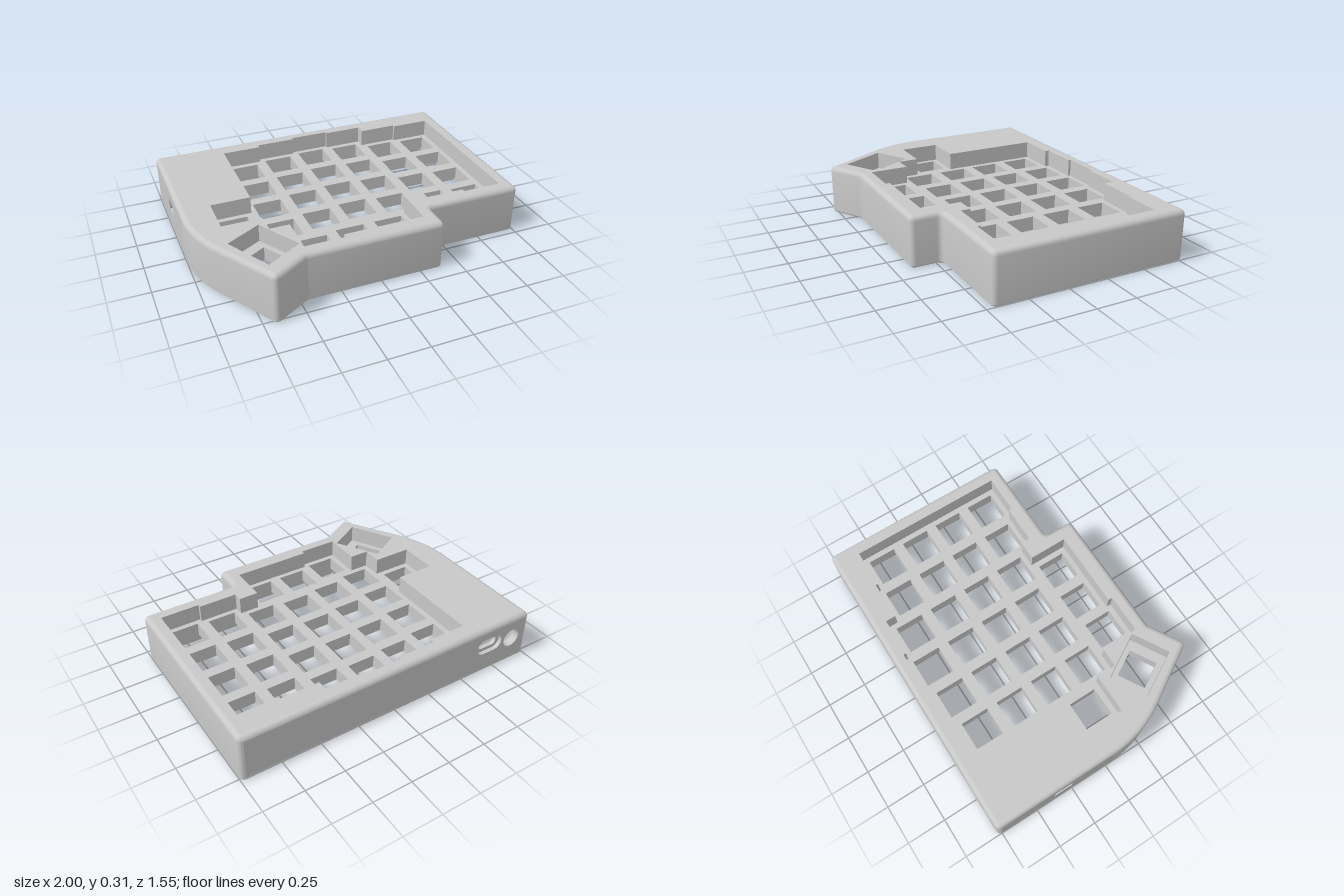
import * as THREE from 'three';
import { toCreasedNormals } from 'three/addons/utils/BufferGeometryUtils.js';

const H = 0.31, PLATE_TOP = 0.2, PLATE_LOW = 0.115, LEDGE = 0.025, EDGE = 0.03, BAY_TOP = 0.24;

// All loops hold [x, z] points, running clockwise as seen from above.
function caseOutline() {
  const pts = [[-1, -0.775], [1, -0.775], [1, 0.463], [0.39, 0.463], [0.39, 0.653],
    [-0.455, 0.653], [-0.675, 0.783]];
  const curve = new THREE.QuadraticBezierCurve(
    new THREE.Vector2(-0.9, 0.405), new THREE.Vector2(-1, 0.23), new THREE.Vector2(-1, 0.03));
  curve.getPoints(10).forEach(p => pts.push([p.x, p.y]));
  return pts;
}

// Corner data: inward normals of both edges, their mitre and the turn direction
function corners(loop) {
  const n = loop.length;
  const normal = (a, b) => {
    const dx = b[0] - a[0], dz = b[1] - a[1], l = Math.hypot(dx, dz);
    return [-dz / l, dx / l];
  };
  return loop.map((p, i) => {
    const n1 = normal(loop[(i + n - 1) % n], p), n2 = normal(p, loop[(i + 1) % n]);
    const k = 1 + n1[0] * n2[0] + n1[1] * n2[1];
    return { p, n1, turn: Math.atan2(n1[0] * n2[1] - n1[1] * n2[0], k - 1),
      m: [(n1[0] + n2[0]) / k, (n1[1] + n2[1]) / k] };
  });
}

const inset = (loop, d) => corners(loop).map(({ p, m }) => [p[0] + m[0] * d, p[1] + m[1] * d]);

// Outline with rounded corners, moved inwards by d
function rounded(loop, r, d) {
  const out = [];
  for (const { p, n1, turn, m } of corners(loop)) {
    if (Math.abs(turn) < 0.2) { out.push([p[0] + m[0] * d, p[1] + m[1] * d]); continue; }
    const s = Math.sign(turn) * r;
    for (let i = 0; i <= 5; i++) {
      const a = turn * i / 5, c = Math.cos(a), sn = Math.sin(a);
      const nx = n1[0] * c - n1[1] * sn, nz = n1[0] * sn + n1[1] * c;
      out.push([p[0] + s * m[0] + (d - s) * nx, p[1] + s * m[1] + (d - s) * nz]);
    }
  }
  return out;
}

// Skin through stacked rings {loop, y}; inward flips it, skip leaves out single quads
function skin(rings, inward = false, skip = () => false) {
  const pos = [];
  for (let k = 0; k + 1 < rings.length; k++) {
    const A = rings[k], B = rings[k + 1], n = A.loop.length;
    for (let i = 0; i < n; i++) {
      const j = (i + 1) % n;
      if (skip(A.loop[i], A.loop[j], k)) continue;
      const v = (R, q) => [R.loop[q][0], R.y, R.loop[q][1]];
      const a = v(A, i), b = v(A, j), c = v(B, i), d = v(B, j);
      pos.push(...(inward ? [a, b, c, b, d, c] : [a, c, b, b, c, d]).flat());
    }
  }
  const g = new THREE.BufferGeometry();
  g.setAttribute('position', new THREE.Float32BufferAttribute(pos, 3));
  return toCreasedNormals(g, 0.6);
}

const wall = (loop, y0, y1, skip) => skin([{ loop, y: y0 }, { loop, y: y1 }], true, skip);

// Flat horizontal face with holes
function face(loop, holes, y, down = false) {
  const vec = l => l.map(([x, z]) => new THREE.Vector2(x, -z));
  const shape = new THREE.Shape(vec(loop));
  holes.forEach(h => shape.holes.push(new THREE.Path(vec(h))));
  const g = new THREE.ShapeGeometry(shape).rotateX(-Math.PI / 2).translate(0, y, 0);
  if (down) { g.index.array.reverse(); g.computeVertexNormals(); }
  return g;
}

// Square loop turned by an angle
function square(x, z, size, turn = 0) {
  const h = size / 2, c = Math.cos(turn), s = Math.sin(turn);
  return [[-h, -h], [h, -h], [h, h], [-h, h]].map(([a, b]) => [x + a * c - b * s, z + a * s + b * c]);
}

const circle = (x, z, r) => Array.from({ length: 16 }, (_, i) =>
  [x + r * Math.cos(i * Math.PI / 8), z + r * Math.sin(i * Math.PI / 8)]);

const rect = (x0, x1, y0, y1, P = THREE.Path) => new P(
  [[x0, y0], [x1, y0], [x1, y1], [x0, y1]].map(p => new THREE.Vector2(...p)));

// Rounded slot as a path or shape
function slot(x, y, w, h, P = THREE.Path) {
  const r = h / 2, e = w / 2 - r, p = new P();
  p.absarc(x + e, y, r, -Math.PI / 2, Math.PI / 2, false);
  p.absarc(x - e, y, r, Math.PI / 2, Math.PI * 1.5, false);
  p.closePath();
  return p;
}

export function createModel() {
  const model = new THREE.Group();
  const grey = new THREE.MeshStandardMaterial({ color: 0xc8c8c8 });
  grey.name = 'case grey';
  const add = (name, g) => {
    const m = new THREE.Mesh(g, grey);
    m.name = name;
    model.add(m);
    return m;
  };

  const outline = caseOutline();
  const ring = (d, y) => ({ loop: rounded(outline, EDGE, d), y });

  // Outer shell with a rounded top edge; back and left walls are separate panels
  const rings = [ring(0.008, 0), ring(0, 0.008), ring(0, LEDGE)];
  for (let i = 0; i <= 4; i++) {
    const a = i / 4 * Math.PI / 2;
    rings.push(ring(EDGE * (1 - Math.cos(a)), H - EDGE + EDGE * Math.sin(a)));
  }
  const onPanel = (p, q, k) => k === 2 &&
    ((p[1] < -0.7749 && q[1] < -0.7749) || (p[0] < -0.9999 && q[0] < -0.9999));
  add('outerShell', skin(rings, false, onPanel));

  // Key positions
  const keys = [];
  [-0.533, -0.563, -0.583, -0.563, -0.502, -0.484].forEach((z, c) => {
    for (let r = 0; r < 4; r++) keys.push(square(-0.44 + c * 0.2465, z + r * 0.2475, 0.18));
  });
  [[-0.69, 0.081], [-0.317, 0.449], [-0.072, 0.424], [0.176, 0.424]].forEach(([x, z]) =>
    keys.push(square(x, z, 0.18)));
  const thumbKey = square(-0.638, 0.465, 0.18, -Math.PI / 6);

  // Key well outlines
  const well = [[-0.565, -0.66], [-0.318, -0.66], [-0.318, -0.688], [-0.068, -0.688], [-0.068, -0.705],
    [0.18, -0.705], [0.18, -0.688], [0.425, -0.688], [0.425, -0.625], [0.67, -0.625], [0.67, -0.609],
    [0.917, -0.609], [0.917, 0.381], [0.67, 0.381], [0.67, 0.36], [0.425, 0.36], [0.425, 0.3],
    [0.302, 0.3], [0.302, 0.545], [-0.195, 0.545], [-0.195, 0.572], [-0.443, 0.572], [-0.443, 0.333],
    [-0.565, 0.333], [-0.565, 0.207], [-0.812, 0.207], [-0.812, -0.042], [-0.565, -0.042]];
  const thumbWell = [[-0.61, 0.269], [-0.456, 0.537], [-0.673, 0.662], [-0.823, 0.39]];

  add('topFace', face(rings.at(-1).loop, [well, thumbWell], H));
  add('keyWellWall', wall(well, PLATE_TOP, H));
  add('thumbWellWall', wall(thumbWell, PLATE_TOP, H));
  add('keyPlate', face(well, keys, PLATE_TOP));
  add('thumbKeyPlate', face(thumbWell, [thumbKey], PLATE_TOP));
  [...keys, thumbKey].forEach(k => add('keyHole', wall(k, PLATE_LOW, PLATE_TOP)));

  // Blind screw holes under the plate
  const screws = [[0.667, -0.37], [0.667, 0.12], [-0.317, -0.43], [-0.317, 0.06], [-0.606, 0.255]]
    .map(([x, z]) => circle(x, z, 0.02));
  screws.forEach(s => {
    add('screwHole', wall(s, PLATE_LOW, PLATE_LOW + 0.05));
    add('screwHoleEnd', face(s, [], PLATE_LOW + 0.05, true));
  });

  // Underside: rim, stepped ledge, inner walls and the plate's lower face
  const lip = inset(outline, 0.025), inner = inset(outline, 0.05);
  const bay = [[-0.948, -0.723], [-0.59, -0.723], [-0.59, -0.07], [-0.948, -0.07]];
  const behindPanel = (p, q) => (p[1] < -0.72 && q[1] < -0.72) ||
    (p[0] < -0.947 && q[0] < -0.947 && Math.max(p[1], q[1]) < 0.05);
  add('bottomRim', face(rings[0].loop, [lip], 0, true));
  add('lipWall', wall(lip, 0, LEDGE));
  add('bottomLedge', face(lip, [inner], LEDGE, true));
  add('innerWall', wall(inner, LEDGE, PLATE_LOW, behindPanel));
  add('plateUnderside', face(inner, [...keys, thumbKey, ...screws, bay], PLATE_LOW, true));

  // Controller bay in the rear corner
  add('bayWall', wall(bay, PLATE_LOW, BAY_TOP, behindPanel));
  add('bayRoof', face(bay, [], BAY_TOP, true));

  // Back panel with a cable slot and a round socket
  const back = rect(-0.97, 0.97, LEDGE, H - EDGE, THREE.Shape);
  const socket = new THREE.Path();
  socket.absarc(-0.872, 0.165, 0.06, 0, Math.PI * 2);
  back.holes.push(slot(-0.695, 0.185, 0.19, 0.105), socket);
  const extrude = (s, depth) => toCreasedNormals(
    new THREE.ExtrudeGeometry(s, { depth, bevelEnabled: false, curveSegments: 16 }), 0.6);
  add('backPanel', extrude(back, 0.05)).position.z = -0.775;
  const collar = slot(-0.695, 0.185, 0.19, 0.105, THREE.Shape);
  collar.holes.push(slot(-0.695, 0.185, 0.14, 0.06));
  add('slotCollar', extrude(collar, 0.025)).position.z = -0.75;

  // Left-hand panel with a small switch opening
  const side = rect(-0.745, 0.03, LEDGE, H - EDGE, THREE.Shape);
  side.holes.push(rect(-0.38, -0.26, 0.14, 0.22));
  add('sidePanel', extrude(side, 0.05).rotateY(-Math.PI / 2)).position.x = -0.95;

  return model;
}
